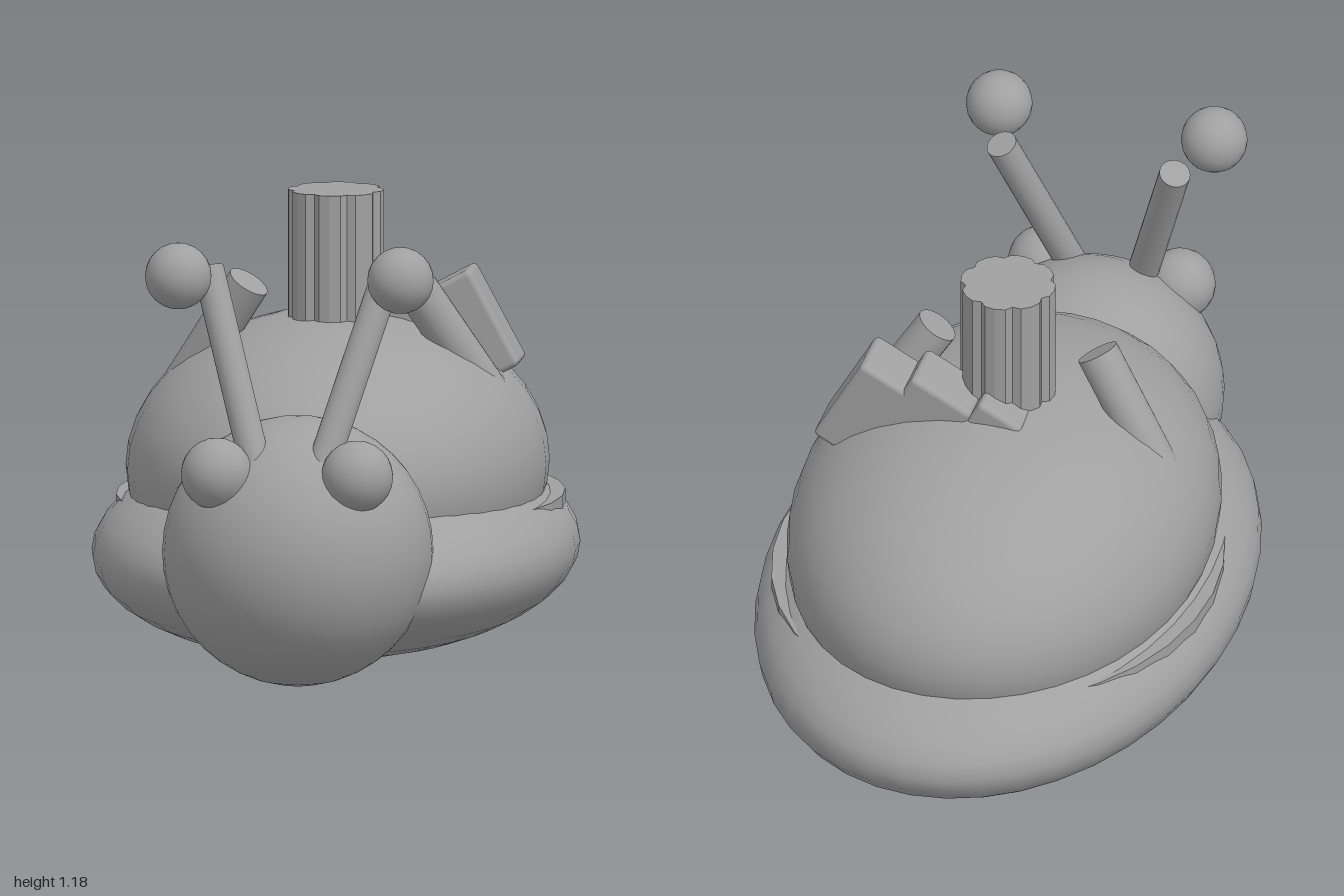
import * as THREE from 'three';
import { RoundedBoxGeometry } from 'three/addons/geometries/RoundedBoxGeometry.js';

export function createModel() {
  const model = new THREE.Group();
  model.name = 'snail';
  const grey = new THREE.MeshStandardMaterial({ color: 0xa0a0a0 });
  grey.name = 'grey';

  const add = (name, geometry, x, y, z) => {
    const mesh = new THREE.Mesh(geometry, grey);
    mesh.name = name;
    mesh.position.set(x, y, z);
    model.add(mesh);
    return mesh;
  };

  const ellipsoid = (name, [x, y, z], [rx, ry, rz], segments = 40) => {
    const geometry = new THREE.SphereGeometry(1, segments, segments / 2);
    geometry.scale(rx, ry, rz);
    return add(name, geometry, x, y, z);
  };

  // Straight round rod between two points
  const rod = (name, from, to, radius) => {
    const a = new THREE.Vector3(...from);
    const b = new THREE.Vector3(...to);
    const dir = b.clone().sub(a);
    const mid = a.add(b).multiplyScalar(0.5);
    const mesh = add(name, new THREE.CylinderGeometry(radius, radius, dir.length(), 20), mid.x, mid.y, mid.z);
    mesh.quaternion.setFromUnitVectors(new THREE.Vector3(0, 1, 0), dir.normalize());
  };

  // Foot, shell and head
  ellipsoid('foot', [0, 0.265, -0.072], [0.615, 0.262, 0.928]);
  ellipsoid('shell', [0, 0.475, -0.105], [0.535, 0.39, 0.74]);
  ellipsoid('head', [0, 0.36, 0.655], [0.345, 0.345, 0.345]);

  // Thin rim buried between shell and foot
  const rim = new THREE.CylinderGeometry(1, 1, 0.04, 32);
  rim.scale(0.57, 1, 0.66);
  add('shellRim', rim, 0, 0.37, -0.16);

  // Mirrored eyes, feelers and side pipes
  for (const [side, s] of [['left', 1], ['right', -1]]) {
    ellipsoid(side + 'Eye', [s * 0.18, 0.585, 0.86], [0.092, 0.092, 0.092], 24);
    rod(side + 'Feeler', [s * 0.07, 0.55, 0.845], [s * 0.23, 1.08, 0.648], 0.04);
    ellipsoid(side + 'FeelerBall', [s * 0.285, 1.085, 0.815], [0.085, 0.085, 0.085], 24);
    rod(side + 'Pipe', [s * 0.39, 0.67, -0.05], [s * 0.212, 0.95, 0.013], 0.055);
  }

  // Fluted chimney: eight flat lobes separated by notches
  const outline = [];
  for (let i = 0; i < 8; i++) {
    for (const [offset, radius] of [[-22.5, 0.109], [-13, 0.121], [0, 0.123], [13, 0.121]]) {
      const angle = THREE.MathUtils.degToRad(i * 45 + offset);
      outline.push(new THREE.Vector2(Math.cos(angle) * radius, Math.sin(angle) * radius));
    }
  }
  const chimney = new THREE.ExtrudeGeometry(new THREE.Shape(outline), { depth: 0.48, bevelEnabled: false });
  chimney.rotateX(-Math.PI / 2);
  add('chimney', chimney, 0, 0.7, -0.07);

  // Tilted blocks sinking into the shell: x, y, width, length
  const blocks = [
    [0.338, 0.82, 0.146, 0.275],
    [0.187, 0.8, 0.18, 0.27],
    [0.02, 0.79, 0.13, 0.22],
  ];
  blocks.forEach(([x, y, width, length], i) => {
    const block = add('block' + (i + 1), new RoundedBoxGeometry(width, length, 0.148, 3, 0.015), x, y, -0.174);
    block.rotation.z = 0.495;
  });

  return model;
}
